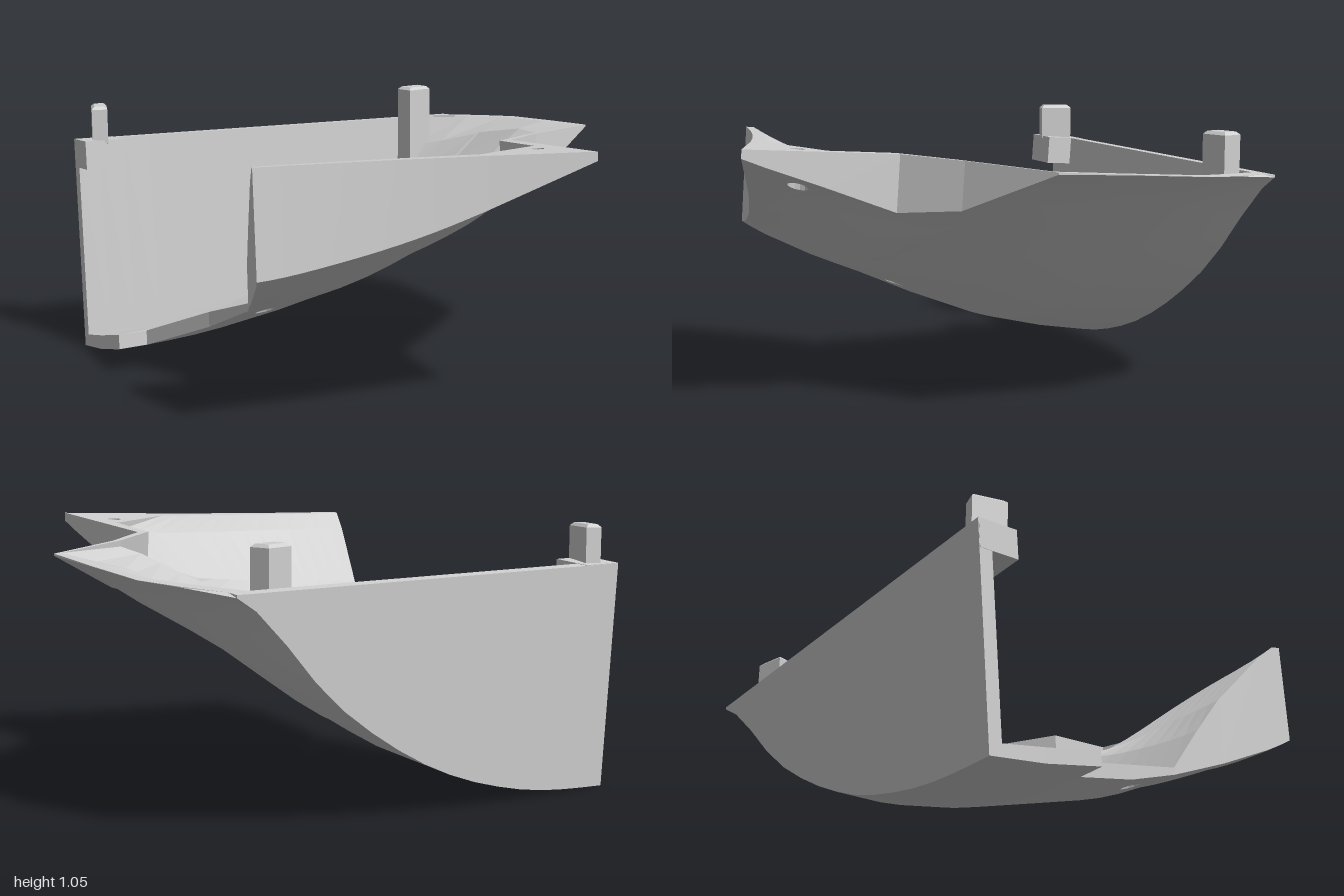
import * as THREE from 'three';
import { mergeVertices } from 'three/addons/utils/BufferGeometryUtils.js';

const LEAN = 0.067; // the rim plane and all upright walls lean by this slope
const COLS = 14;    // floor columns; two more make the right-hand rim
const rimY = (z) => 0.968 + LEAN * z;
const { lerp, smoothstep } = THREE.MathUtils;

// Cross-sections from back to front. left/right: [x, z at y = 0], y: underside heights,
// rim: rim width (fraction), rise: climb of the inside to the rim at the left and right ends
const SECTIONS = [
  { left: [-0.98, -0.94], right: [0.82, -0.94], y: [0, 0.045, 0.19, 0.47, 0.89], rim: 0.045 },
  { left: [-0.98, -0.7], right: [0.91, -0.73], y: [0.04, 0.085, 0.225, 0.515, 0.912], rim: 0.04 },
  { left: [-0.98, -0.453], right: [0.98, -0.56], y: [0.1, 0.14, 0.285, 0.58, 0.925], rim: 0.03 },
  { left: [-0.86, -0.453], right: [0.98, -0.54], y: [0.105, 0.158, 0.314, 0.6, 0.926], rim: 0.03 },
  { left: [-0.72, -0.083], right: [0.98, -0.237], y: [0.25, 0.3, 0.455, 0.7, 0.945], rim: 0.025 },
  { left: [-0.66, 0.195], right: [0.97, 0.064], y: [0.37, 0.41, 0.54, 0.745, 0.96], rim: 0.02, thick: 0.03 },
  { left: [-0.7, 0.3], right: [0.6, 0.268], y: [0.41, 0.46, 0.53, 0.64, 0.795], rim: 0.03, thick: 0.04, rise: [0.23, 0.9] },
  { left: [-0.73, 0.4], right: [0.38, 0.44], y: [0.45, 0.49, 0.55, 0.64, 0.77], rim: 0.045, rise: [0.44, 0.1] },
  { left: [-0.79, 0.59], right: [0.38, 0.72], y: [0.54, 0.59, 0.66, 0.755, 0.875], rim: 0.05, rise: [0.85, 0.6] },
  { left: [-0.81, 0.66], right: [0.38, 0.97], y: [0.58, 0.635, 0.72, 0.835, 0.965], rim: 0.31, rise: [1, 1] },
  { left: [-0.82, 0.69], right: [0.38, 1.06], y: [0.6, 0.655, 0.74, 0.86, 1.0], rim: 0.31, rise: [1, 1] },
];
// Screw holes [x, z], wider on the underside
const HOLES = [[-0.54, 0.05], [0.275, 0.745]];
const HOLE_TOP = 0.027, HOLE_BOTTOM = 0.04;
const HOLE_SIDES = 12;

// One row of points on the underside (outer) and on the inside (inner)
function makeRow({ left, right, y: heights, rim, thick = 0.06, rise = [0, 0] }, shift = 0, atRim = false) {
  const curve = new THREE.SplineCurve(heights.map((y, i) => new THREE.Vector2(i / 4, y)));
  const bow = 0.035 * smoothstep(left[1], 0.4, 0.69); // the front edge sags inward
  const outer = [], inner = [];
  for (let c = 0; c <= COLS + 2; c++) {
    const u = c > COLS + 1 ? 1 : (Math.min(c, COLS) / COLS) ** 1.09 * (1 - rim);
    const x = lerp(left[0], right[0], u);
    const z = lerp(left[1], right[1], u) - bow * 4 * u * (1 - u);
    const y = curve.getPoint(u).y;
    outer.push(new THREE.Vector3(x, y, z - LEAN * y));
    const top = rimY(z + shift - LEAN);
    const floor = Math.min(top, y + thick);
    const iy = atRim || c > COLS ? top : lerp(floor, top, lerp(...rise, u ** 3));
    inner.push(new THREE.Vector3(x, iy, z + shift - LEAN * iy));
  }
  return { outer, inner };
}

function quad(out, a, b, c, d) {
  for (const p of [a, b, c, a, c, d]) out.push(p.x, p.y, p.z);
}

function insideQuad([x, z], pts) {
  let inside = false;
  pts.forEach((p, i) => {
    const q = pts[(i + 3) % 4];
    if ((p.z > z) !== (q.z > z) && x < ((q.x - p.x) * (z - p.z)) / (q.z - p.z) + p.x) inside = !inside;
  });
  return inside;
}

// A grid cell, pierced when a screw hole falls inside it
function cell(out, pts, up, rings) {
  const index = HOLES.findIndex((h) => insideQuad(h, pts));
  if (index < 0) return up ? quad(out, ...pts) : quad(out, ...[...pts].reverse());
  const plane = new THREE.Plane().setFromCoplanarPoints(pts[0], pts[1], pts[2]);
  const radius = up ? HOLE_TOP : HOLE_BOTTOM;
  const ring = Array.from({ length: HOLE_SIDES }, (_, k) => {
    const a = (k / HOLE_SIDES) * Math.PI * 2;
    const x = HOLES[index][0] + Math.cos(a) * radius;
    const z = HOLES[index][1] + Math.sin(a) * radius;
    return new THREE.Vector3(x, -(plane.constant + plane.normal.x * x + plane.normal.z * z) / plane.normal.y, z);
  });
  rings[index] = ring;
  const flat = (list) => list.map((p) => new THREE.Vector2(p.x, p.z));
  const all = [...pts, ...ring];
  for (const tri of THREE.ShapeUtils.triangulateShape(flat(pts), [flat(ring)])) {
    const [a, b, c] = tri.map((i) => all[i]);
    const facesUp = (b.z - a.z) * (c.x - a.x) - (b.x - a.x) * (c.z - a.z) > 0;
    for (const p of facesUp === up ? [a, b, c] : [a, c, b]) out.push(p.x, p.y, p.z);
  }
}

function geometryFrom(positions, smooth = false) {
  let g = new THREE.BufferGeometry();
  g.setAttribute('position', new THREE.Float32BufferAttribute(positions, 3));
  if (smooth) g = mergeVertices(g, 1e-4);
  g.computeVertexNormals();
  return g;
}

// Upright peg with bevelled edges; its foot can slope to follow the floor
function pegGeometry(w, d, h, footSlope) {
  const b = 0.012, x = w / 2 - b, z = d / 2 - b;
  const shape = new THREE.Shape([[-x, -z], [x, -z], [x, z], [-x, z]].map((p) => new THREE.Vector2(...p)));
  const g = new THREE.ExtrudeGeometry(shape, { depth: h - 2 * b, bevelEnabled: true, bevelSize: b, bevelThickness: b, bevelSegments: 1 });
  g.rotateX(-Math.PI / 2).translate(0, b, 0);
  const pos = g.attributes.position;
  for (let i = 0; i < pos.count; i++) {
    if (pos.getY(i) < h / 2) pos.setY(i, pos.getY(i) + footSlope * pos.getX(i));
  }
  g.computeVertexNormals();
  return g;
}

export function createModel() {
  const group = new THREE.Group();
  const grey = new THREE.MeshStandardMaterial({ color: 0xd0d0d0 });
  grey.name = 'plain grey';
  const add = (name, geometry) => {
    const mesh = new THREE.Mesh(geometry, grey);
    mesh.name = name;
    group.add(mesh);
    return mesh;
  };

  // The first section is repeated to form the top and inner face of the back wall
  const back = SECTIONS[0];
  const rows = [makeRow(back, 0, true), makeRow(back, 0.055, true), makeRow(back, 0.055),
    ...SECTIONS.slice(1).map((s) => makeRow(s))];
  // the underside starts from the unshifted back section, which all three copies share
  const last = COLS + 2;
  const skin = [], inside = [], edges = [], backPanel = [], frontPanel = [], bores = [];
  const lower = [], upper = [];

  for (let r = 0; r < rows.length - 1; r++) {
    const p = rows[r], q = rows[r + 1];
    for (let c = 0; c < last; c++) {
      const corners = (k) => [p[k][c], q[k][c], q[k][c + 1], p[k][c + 1]];
      cell(inside, corners('inner'), true, upper);
      if (r >= 2 && c !== COLS) cell(skin, corners('outer'), false, lower);
    }
    // cut edges on both sides
    quad(edges, p.outer[0], q.outer[0], q.inner[0], p.inner[0]);
    quad(edges, p.inner[last], q.inner[last], q.outer[last], p.outer[last]);
  }

  // back panel and front panel
  const first = rows[0], front = rows[rows.length - 1];
  for (let c = 0; c < last; c++) {
    quad(backPanel, first.inner[c], first.inner[c + 1], first.outer[c + 1], first.outer[c]);
    quad(frontPanel, front.outer[c], front.outer[c + 1], front.inner[c + 1], front.inner[c]);
  }

  // walls of the screw holes
  lower.forEach((ring, h) => {
    for (let k = 0; k < HOLE_SIDES; k++) {
      const n = (k + 1) % HOLE_SIDES;
      quad(bores, ring[k], ring[n], upper[h][n], upper[h][k]);
    }
  });

  add('curvedUnderside', geometryFrom(skin, true));
  add('innerSurface', geometryFrom(inside));
  add('sideEdges', geometryFrom(edges));
  add('backWall', geometryFrom(backPanel));
  add('frontWall', geometryFrom(frontPanel));
  add('screwHoles', geometryFrom(bores));

  // corner block that carries the first peg
  const block = add('cornerBlock', new THREE.BoxGeometry(0.17, 0.12, 0.165));
  block.position.set(-0.896, 0.848, -0.911);
  block.rotation.x = -LEAN;

  // locating pegs
  const cornerPeg = add('cornerPeg', pegGeometry(0.065, 0.135, 0.165, 0));
  cornerPeg.position.set(-0.895, 0.89, -0.902);
  cornerPeg.rotation.y = -0.28;
  const sidePeg = add('sidePeg', pegGeometry(0.12, 0.085, 0.345, 1));
  sidePeg.position.set(0.605, 0.71, -0.89);
  sidePeg.rotation.y = 0.25;

  return group;
}
